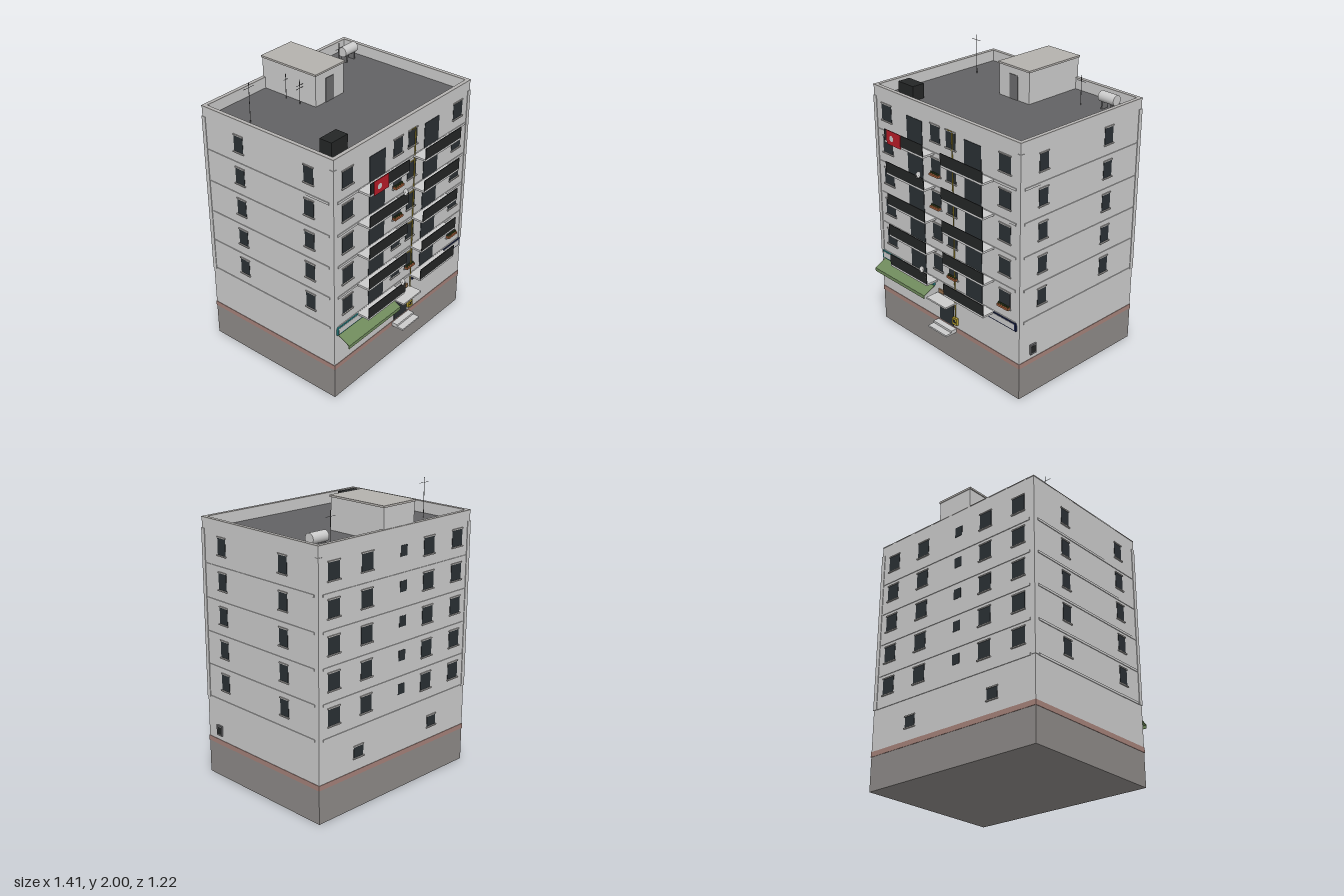
import * as THREE from 'three';

const X0 = -0.698, X1 = 0.692, Z0 = -0.608, Z1 = 0.478; // outer walls
const CX = (X0 + X1) / 2, CZ = (Z0 + Z1) / 2, W = X1 - X0, D = Z1 - Z0;
const FLOOR = 0.2325, FIRST = 0.565, DECK = 1.725, TOP = 1.805;

const mat = (color, side = THREE.FrontSide) => new THREE.MeshStandardMaterial({ color, side });
const M = {
  grey: mat(0xcccccc), base: mat(0x8e8a88), band: mat(0xa5827a), glass: mat(0x2a3034),
  black: mat(0x242626), roof: mat(0x626264), trim: mat(0xb4b2b0), dark: mat(0x6c6c6e),
  house: mat(0xb4b1ad), yellow: mat(0xb09a30), teal: mat(0x2f8f92), navy: mat(0x20284e),
  green: mat(0x6f8a5c, THREE.DoubleSide), orange: mat(0xa5603a), leaf: mat(0x35451f),
  brown: mat(0x94714f), red: mat(0xb81c28), white: mat(0xe6e6e6, THREE.DoubleSide),
};

function add(parent, name, geo, material, x = 0, y = 0, z = 0) {
  const m = new THREE.Mesh(geo, material);
  m.name = name;
  m.position.set(x, y, z);
  parent.add(m);
  return m;
}

// box given by its extents
function box(parent, name, material, x0, x1, y0, y1, z0, z1) {
  return add(parent, name, new THREE.BoxGeometry(x1 - x0, y1 - y0, z1 - z0), material,
    (x0 + x1) / 2, (y0 + y1) / 2, (z0 + z1) / 2);
}

function rod(parent, name, material, a, b, r) {
  const p = new THREE.Vector3(...a), q = new THREE.Vector3(...b);
  const m = add(parent, name, new THREE.CylinderGeometry(r, r, p.distanceTo(q), 8), material);
  m.position.copy(p).lerp(q, 0.5);
  m.quaternion.setFromUnitVectors(new THREE.Vector3(0, 1, 0), q.sub(p).normalize());
  return m;
}

// window facing local +z, bottom centre at the origin
function windowUnit(parent, x, y, z, turn, w, h, trims = true) {
  const g = new THREE.Group();
  g.name = 'window';
  g.position.set(x, y, z);
  g.rotation.y = turn;
  parent.add(g);
  box(g, 'pane', M.glass, -w / 2, w / 2, 0, h, -0.01, 0.002);
  if (trims) {
    box(g, 'sill', M.trim, -w / 2 - 0.006, w / 2 + 0.006, -0.008, 0, -0.01, 0.01);
    box(g, 'lintel', M.trim, -w / 2 - 0.003, w / 2 + 0.003, h, h + 0.008, -0.01, 0.007);
  }
}

function flowerBox(parent, x, y, w) {
  const g = new THREE.Group();
  g.name = 'flowerBox';
  parent.add(g);
  box(g, 'planter', M.orange, x - w / 2, x + w / 2, y, y + 0.014, Z1, Z1 + 0.027);
  const n = Math.round(w / 0.02);
  for (let i = 0; i < n; i++)
    add(g, 'plant', new THREE.IcosahedronGeometry(0.009, 0), M.leaf, x - w / 2 + (i + 0.5) * w / n, y + 0.02, Z1 + 0.014);
}

function balcony(parent, x0, x1, y) {
  const g = new THREE.Group();
  g.name = 'balcony';
  parent.add(g);
  box(g, 'slab', M.grey, x0, x1, y - 0.008, y + 0.006, Z1 - 0.01, 0.578);
  box(g, 'railing', M.black, x0, x1, y + 0.006, y + 0.085, 0.574, 0.579);
}

function satelliteDish(parent, x, y) {
  const g = new THREE.Group();
  g.name = 'satelliteDish';
  parent.add(g);
  const pts = [0, 0.008, 0.016, 0.022].map(r => new THREE.Vector2(r, r * r * 14));
  const dish = add(g, 'dish', new THREE.LatheGeometry(pts, 20), M.white, x, y, 0.58);
  dish.rotation.x = Math.PI / 2 - 0.5;
  rod(g, 'dishArm', M.dark, [x, y - 0.015, 0.592], [x, y + 0.006, 0.603], 0.0015);
  rod(g, 'dishPost', M.dark, [x + 0.045, y - 0.08, 0.576], [x, y, 0.58], 0.002);
}

function antenna(parent, x, z, top, bars, half) {
  const g = new THREE.Group();
  g.name = 'antenna';
  parent.add(g);
  rod(g, 'mast', M.dark, [x, DECK, z], [x, top, z], 0.002);
  for (const y of bars) rod(g, 'crossBar', M.dark, [x - half, y, z], [x + half, y, z], 0.0015);
}

function shopSign(parent, x0, x1, material) {
  const g = new THREE.Group();
  g.name = 'shopSign';
  parent.add(g);
  box(g, 'signFrame', material, x0, x1, 0.513, 0.57, Z1 - 0.005, 0.49);
  box(g, 'signFace', M.grey, x0 + 0.012, x1 - 0.012, 0.521, 0.562, 0.48, 0.492);
}

export function createModel() {
  const root = new THREE.Group();
  root.name = 'apartmentBlock';

  // main masses
  box(root, 'basement', M.base, X0, X1, 0, 0.235, Z0, Z1);
  box(root, 'plinthBand', M.band, X0 - 0.003, X1 + 0.003, 0.235, 0.27, Z0 - 0.003, Z1 + 0.003);
  box(root, 'walls', M.grey, X0, X1, 0.27, DECK - 0.002, Z0, Z1);
  box(root, 'roofDeck', M.roof, X0 + 0.02, X1 - 0.02, DECK - 0.01, DECK, Z0 + 0.02, Z1 - 0.02);
  const t = 0.023;
  for (const [a, b, c, d] of [[X0, X1, Z1 - t, Z1], [X0, X1, Z0, Z0 + t], [X0, X0 + t, Z0 + t, Z1 - t], [X1 - t, X1, Z0 + t, Z1 - t]]) {
    box(root, 'parapet', M.grey, a, b, DECK - 0.002, TOP - 0.006, c, d);
    box(root, 'coping', M.trim, a - 0.002, b + 0.002, TOP - 0.006, TOP, c - 0.002, d + 0.002);
  }
  // corner strips
  for (const x of [X0, X1]) for (const z of [Z0, Z1])
    add(root, 'cornerStrip', new THREE.BoxGeometry(0.03, 1.17, 0.03), M.grey,
      x - Math.sign(x) * 0.011, 1.145, z - Math.sign(z) * 0.011);

  for (let f = 0; f < 5; f++) {
    const y = FIRST + f * FLOOR, wy = y + 0.083;
    // floor bands on all four sides
    add(root, 'floorBand', new THREE.BoxGeometry(W - 0.07, 0.016, D + 0.01), M.grey, CX, y, CZ);
    add(root, 'floorBand', new THREE.BoxGeometry(W + 0.01, 0.016, D - 0.07), M.grey, CX, y, CZ);
    // front
    for (const [x, w] of [[-0.57, 0.1], [-0.08, 0.09], [0.07, 0.09], [0.56, 0.1]])
      windowUnit(root, x, wy, Z1, 0, w, 0.113);
    for (const x of [-0.285, 0.273]) box(root, 'balconyDoor', M.glass, x - 0.077, x + 0.077, y, y + 0.185, Z1 - 0.01, Z1 + 0.003);
    balcony(root, -0.475, -0.09, y);
    balcony(root, 0.08, 0.465, y);
    // sides
    for (const z of [0.283, -0.297]) {
      windowUnit(root, X1, wy, z, Math.PI / 2, 0.077, 0.113);
      windowUnit(root, X0, wy, z, -Math.PI / 2, 0.077, 0.113);
    }
    // back
    for (const x of [0.565, 0.28, -0.29, -0.57]) windowUnit(root, x, wy, Z0, Math.PI, 0.1, 0.113);
    windowUnit(root, -0.05, wy + 0.03, Z0, Math.PI, 0.062, 0.072, false);
    // gas branch
    rod(root, 'gasBranch', M.yellow, [0.045, y + 0.205, Z1 + 0.008], [0.09, y + 0.205, Z1 + 0.008], 0.003);
  }
  for (const x of [0.345, -0.36]) windowUnit(root, x, 0.36, Z0, Math.PI, 0.085, 0.075);

  for (const [x, f, w] of [[0.07, 0, 0.085], [0.56, 0, 0.1], [-0.08, 2, 0.085], [-0.08, 3, 0.085]])
    flowerBox(root, x, FIRST + f * FLOOR + 0.08, w);
  for (const y of [0.67, 1.363]) satelliteDish(root, -0.13, y);

  // gas riser and meter
  rod(root, 'gasRiser', M.yellow, [0.09, 0.34, Z1 + 0.008], [0.09, 1.69, Z1 + 0.008], 0.004);
  box(root, 'gasMeter', M.yellow, 0.068, 0.112, 0.3, 0.352, Z1, Z1 + 0.02);
  box(root, 'meterWindow', M.black, 0.08, 0.1, 0.318, 0.338, Z1 + 0.018, Z1 + 0.022);

  // banner
  box(root, 'banner', M.red, -0.445, -0.305, 1.485, 1.583, 0.58, 0.584);
  add(root, 'bannerDisc', new THREE.CircleGeometry(0.02, 24), M.white, -0.395, 1.533, 0.5855);

  // entrance
  box(root, 'entranceDoor', M.glass, -0.075, 0.065, 0.27, 0.447, Z1 - 0.01, Z1 + 0.004);
  box(root, 'entranceCanopy', M.grey, -0.1, 0.095, 0.456, 0.468, Z1 - 0.01, 0.577);
  box(root, 'entrancePlate', M.brown, -0.078, 0.062, 0.48, 0.507, Z1 - 0.01, 0.488);
  box(root, 'lowerStep', M.grey, -0.095, 0.09, 0.235, 0.247, Z1 - 0.01, 0.573);
  box(root, 'upperStep', M.grey, -0.095, 0.09, 0.247, 0.262, Z1 - 0.01, 0.525);

  // shop fronts
  shopSign(root, -0.68, -0.12, M.teal);
  shopSign(root, 0.11, 0.67, M.navy);
  const awning = add(root, 'awning', new THREE.BoxGeometry(0.535, 0.004, 0.103), M.green, -0.397, 0.482, 0.525);
  awning.rotation.x = 0.45;
  box(root, 'awningValance', M.green, -0.665, -0.13, 0.437, 0.462, 0.568, 0.572);

  // wall unit on the left side
  box(root, 'airConditioner', M.dark, X1 - 0.01, 0.705, 0.305, 0.377, 0.333, 0.385);
  box(root, 'airConditionerGrille', M.black, 0.7, 0.7055, 0.315, 0.367, 0.34, 0.378);

  // stair house on the roof
  box(root, 'stairHouse', M.grey, -0.142, 0.135, DECK, 1.942, Z0 + 0.004, -0.143);
  box(root, 'stairHouseRoof', M.house, -0.149, 0.142, 1.942, 1.955, Z0 - 0.002, -0.136);
  box(root, 'stairHouseDoor', M.dark, -0.045, 0.032, DECK, 1.895, -0.15, -0.139);

  // roof equipment
  const tank = add(root, 'waterTank', new THREE.CylinderGeometry(0.036, 0.036, 0.13, 28), M.grey, 0.55, 1.804, -0.45);
  tank.rotation.z = Math.PI / 2;
  for (const x of [0.51, 0.59]) box(root, 'tankStand', M.dark, x - 0.006, x + 0.006, DECK, 1.776, -0.475, -0.425);
  box(root, 'roofBox', M.black, -0.58, -0.43, DECK, 1.826, 0.27, 0.363);
  antenna(root, -0.56, -0.32, 2, [1.965], 0.045);
  antenna(root, 0.37, -0.38, 1.93, [1.89], 0.04);
  antenna(root, -0.175, -0.25, 1.9, [1.86, 1.838], 0.035);
  antenna(root, -0.17, -0.375, 1.9, [1.86], 0.02);
  return root;
}
